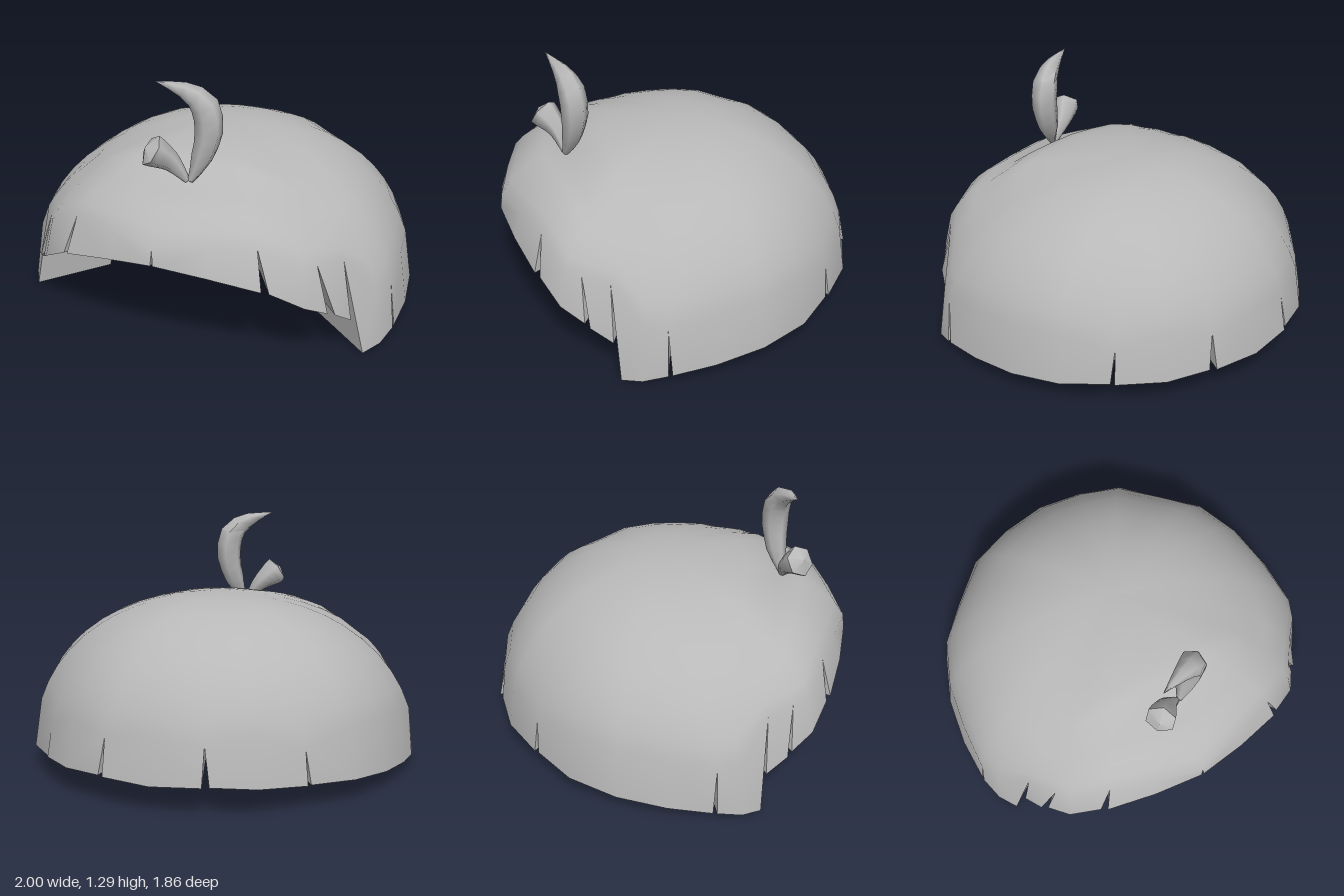
import * as THREE from 'three';
import { toCreasedNormals } from 'three/addons/utils/BufferGeometryUtils.js';

const material = new THREE.MeshStandardMaterial({ color: 0xb8b8b8, side: THREE.DoubleSide });
material.name = 'hair grey';

// Rim points [x, y, z] of one half, back to front, one list per lock of hair
const LOCKS = [
  [[0, 0.13, -0.93], [0.25, 0.14, -0.9]],
  [[0.28, 0.14, -0.88], [0.49, 0.13, -0.8], [0.68, 0.12, -0.64]],
  [[0.69, 0.12, -0.62], [0.86, 0.11, -0.44], [0.96, 0.09, -0.2], [1, 0.07, 0.05], [1, 0.05, 0.27]],
  [[1, 0.05, 0.29], [0.97, 0.02, 0.41], [0.91, 0, 0.5]],
  [[0.85, 0.18, 0.52], [0.8, 0.25, 0.62]],
  [[0.77, 0.26, 0.64], [0.69, 0.32, 0.74], [0.54, 0.4, 0.81]],
  [[0.51, 0.41, 0.83], [0.26, 0.46, 0.89], [0.006, 0.49, 0.925]],
];
// Top of the slit after each lock, and its angle from the crown
const SLITS = [
  { apex: [0.25, 0.33, -0.86], angle: 76 }, { apex: [0.66, 0.29, -0.62], angle: 76 },
  { apex: [0.975, 0.3, 0.285], angle: 73 }, { apex: [0.8, 0.49, 0.515], angle: 64 },
  { apex: [0.71, 0.5, 0.635], angle: 66 }, { apex: [0.47, 0.6, 0.78], angle: 70 },
  { apex: [0, 0.57, 0.915], angle: 79 },
];
const CORNER = 3, FIRST_FRINGE = 4;
const CENTRE_Z = -0.05, TOP = 0.908, CROWN_ROWS = 6, SIDE_ROWS = 4, INNER = 0.63;

// Sine and cosine of an angle from the crown, slightly squared off at the sides
function arc(angle, x) {
  const a = THREE.MathUtils.degToRad(angle), e = 1 - 0.08 * Math.abs(x);
  return [Math.sin(a) ** e, Math.max(0, Math.cos(a)) ** e];
}

// Point on the dome above a rim point
function domePoint([x, y, z], angle, lift = 0) {
  const [s, c] = arc(angle, x);
  return [x * s, y + (TOP - y) * c + lift, CENTRE_Z + (z - CENTRE_Z) * s];
}

// Rim point whose dome line runs through the top of a slit
function rimUnder({ apex: [x, y, z], angle }) {
  const [s, c] = arc(angle, x);
  return [x / s, (y - TOP * c) / (1 - c), CENTRE_Z + (z - CENTRE_Z) / s];
}

// Inner edge of the underside, below the cavity
function innerPoint([x, y, z], isFringe) {
  const ix = x * INNER;
  const iy = isFringe ? 0.46 - 0.48 * ix * ix : y + 0.02 - 0.043 * z + 0.1 * x * x;
  return [ix, iy, CENTRE_Z + (z - CENTRE_Z) * INNER];
}

// Points from the crown down to the rim, with a soft valley above the fringe
function column(rim, slit) {
  const base = slit ? rimUnder(slit) : rim, end = slit ? slit.angle : 73;
  let crease = 45, depth = 0;
  if (base[2] > 0.5) {
    const s = (0.61 - 0.06 * base[0] ** 2) / (base[2] - CENTRE_Z);
    crease = Math.min(48, THREE.MathUtils.radToDeg(Math.asin(Math.min(1, s))));
    depth = 1 - base[0] ** 2;
  }
  const points = [];
  for (let i = 0; i <= CROWN_ROWS; i++) {
    const t = i / CROWN_ROWS;
    points.push(domePoint(base, crease * 0.82 * t, 0.015 * depth * t));
  }
  points.push(domePoint(base, crease, -0.028 * depth));
  for (let i = 1; i < SIDE_ROWS; i++) {
    points.push(domePoint(base, crease + (end - crease) * i / SIDE_ROWS));
  }
  points.push(slit ? slit.apex : domePoint(base, end), rim);
  return points;
}

function quad(list, a, b, c, d) {
  list.push(...a, ...b, ...c, ...a, ...c, ...d);
}

function mirrored(list) {
  const out = [...list];
  for (let i = 0; i < list.length; i += 9) {
    for (const k of [0, 6, 3]) out.push(-list[i + k], list[i + k + 1], list[i + k + 2]);
  }
  return out;
}

function makeMesh(name, list, angle) {
  const geometry = new THREE.BufferGeometry();
  geometry.setAttribute('position', new THREE.Float32BufferAttribute(mirrored(list), 3));
  const mesh = new THREE.Mesh(toCreasedNormals(geometry, angle), material);
  mesh.name = name;
  return mesh;
}

function buildCap() {
  const shell = [], rim = [];
  LOCKS.forEach((lock, i) => {
    const end = lock.length - 1;
    const out = lock.map((p, j) => column(p, j === end ? SLITS[i] : j === 0 ? SLITS[i - 1] : undefined));
    const inn = lock.map((p) => innerPoint(p, i >= FIRST_FRINGE));
    for (let j = 0; j < end; j++) {
      for (let r = 0; r + 1 < out[j].length; r++) {
        quad(shell, out[j][r], out[j][r + 1], out[j + 1][r + 1], out[j + 1][r]);
      }
      // Underside of the lock
      quad(rim, lock[j], inn[j], inn[j + 1], lock[j + 1]);
    }
    // Walls of the slits at both ends of the lock
    if (i > 0) rim.push(...SLITS[i - 1].apex, ...inn[0], ...lock[0]);
    rim.push(...SLITS[i].apex, ...lock[end], ...inn[end]);
    // Step up from the side lock to the fringe
    if (i === CORNER) rim.push(...SLITS[i].apex, ...inn[end], ...innerPoint(LOCKS[i + 1][0], true));
  });
  const group = new THREE.Group();
  group.name = 'hairCap';
  group.add(makeMesh('outerHair', shell, 0.9), makeMesh('hairRim', rim, 0.2));
  return group;
}

// Tapered, curved tuft: each entry is [x, y, z, radius]
function tuft(name, path) {
  const curve = new THREE.CatmullRomCurve3(path.map(([x, y, z]) => new THREE.Vector3(x, y, z)));
  const segments = (path.length - 1) * 2, sides = 6;
  const geometry = new THREE.TubeGeometry(curve, segments, 1, sides, false);
  const pos = geometry.attributes.position, v = new THREE.Vector3();
  for (let i = 0; i < pos.count; i++) {
    const u = Math.floor(i / (sides + 1)) / segments;
    const centre = curve.getPointAt(u);
    const f = curve.getUtoTmapping(u) * (path.length - 1);
    const k = Math.min(path.length - 2, Math.floor(f));
    const radius = THREE.MathUtils.lerp(path[k][3], path[k + 1][3], f - k);
    v.fromBufferAttribute(pos, i).sub(centre).multiplyScalar(radius).add(centre);
    pos.setXYZ(i, v.x, v.y, v.z);
  }
  const mesh = new THREE.Mesh(toCreasedNormals(geometry, 1.1), material);
  mesh.name = name;
  return mesh;
}

export function createModel() {
  const model = new THREE.Group();
  model.name = 'hair';
  model.add(buildCap());
  model.add(tuft('largeTuft', [
    [0.045, 0.79, 0.58, 0.015], [0.09, 0.9, 0.55, 0.052], [0.125, 1.05, 0.535, 0.07],
    [0.105, 1.17, 0.545, 0.068], [0.035, 1.235, 0.575, 0.045], [-0.1, 1.285, 0.63, 0.002],
  ]));
  model.add(tuft('smallTuft', [
    [0.03, 0.79, 0.58, 0.015], [-0.045, 0.885, 0.605, 0.05], [-0.1, 0.935, 0.645, 0.075],
    [-0.135, 0.965, 0.675, 0.085], [-0.14, 0.97, 0.68, 0.001],
  ]));
  return model;
}
